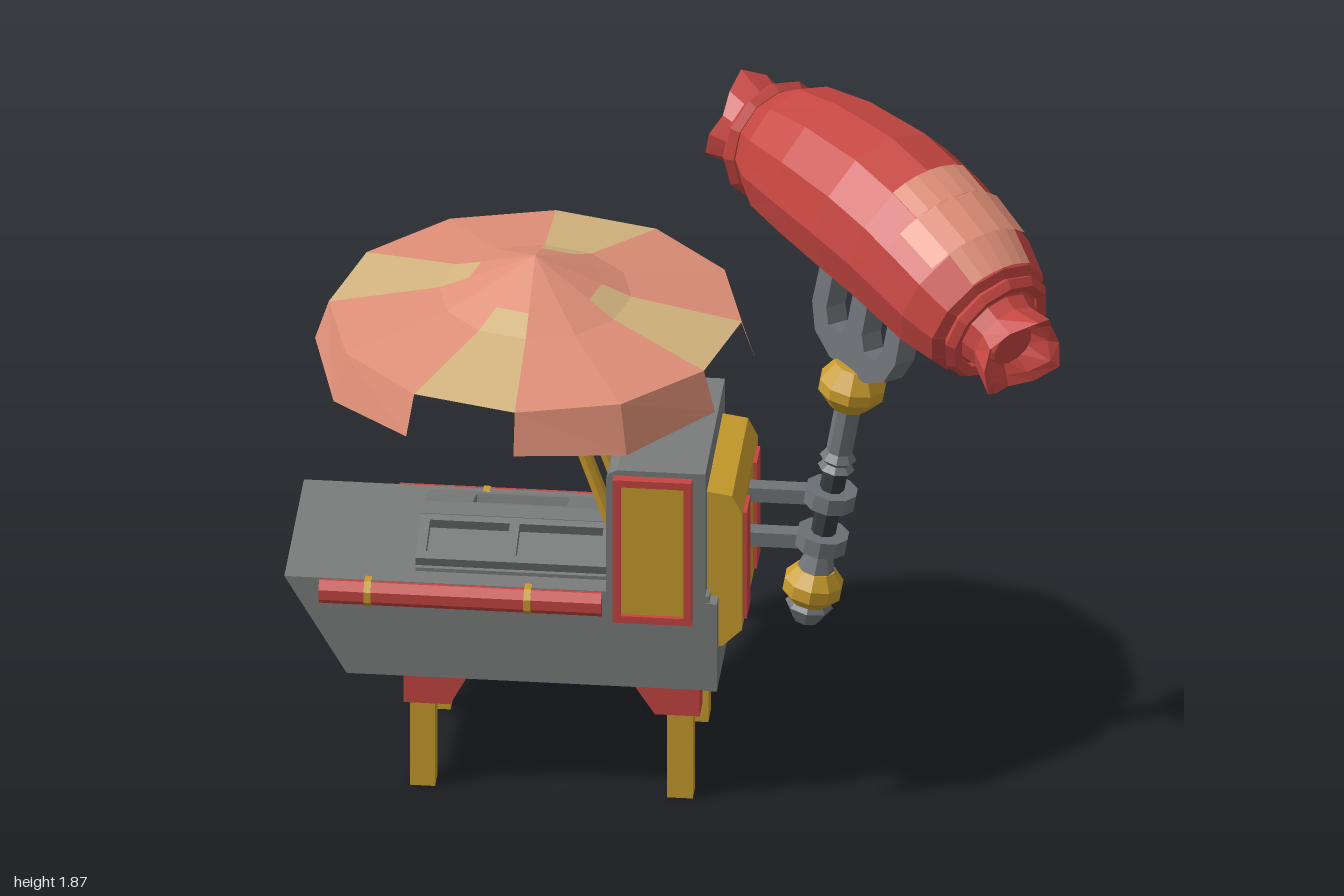
import * as THREE from 'three';

const paint = (name, color, side = THREE.FrontSide) => {
  const m = new THREE.MeshStandardMaterial({ color, side });
  m.name = name;
  return m;
};

export function createModel() {
  const grey = paint('hull grey', 0x7a7c7b);
  const steel = paint('steel', 0x6f7478);
  const dark = paint('dark grip', 0x343a3b);
  const gold = paint('gold', 0xc89b2c);
  const red = paint('red', 0xc64641);
  const orange = paint('canopy orange', 0xe09078, THREE.DoubleSide);
  const tan = paint('canopy tan', 0xd4b580, THREE.DoubleSide);

  const root = new THREE.Group();
  root.name = 'foodStall';

  const flat = (g) => {
    const f = g.index ? g.toNonIndexed() : g;
    f.computeVertexNormals();
    return f;
  };
  const add = (name, geo, mat, parent = root) => {
    const m = new THREE.Mesh(geo, mat);
    m.name = name;
    parent.add(m);
    return m;
  };
  const group = (name, parent = root) => {
    const g = new THREE.Group();
    g.name = name;
    parent.add(g);
    return g;
  };
  // box from its limits
  const box = (name, mat, x0, x1, y0, y1, z0, z1, parent) =>
    add(name, new THREE.BoxGeometry(x1 - x0, y1 - y0, z1 - z0)
      .translate((x0 + x1) / 2, (y0 + y1) / 2, (z0 + z1) / 2), mat, parent);
  const shapeOf = (pts) => new THREE.Shape(pts.map((p) => new THREE.Vector2(...p)));
  const rect = (x0, x1, y0, y1) => [[x0, y0], [x1, y0], [x1, y1], [x0, y1]];
  // outline in x,y extruded from z0 to z1
  const prismGeo = (pts, z0, z1, holes = []) => {
    const s = shapeOf(pts);
    s.holes = holes.map(shapeOf);
    return new THREE.ExtrudeGeometry(s, { depth: z1 - z0, bevelEnabled: false, curveSegments: 6 }).translate(0, 0, z0);
  };
  // surface through rows of points
  const grid = (rows) => {
    const pos = [];
    for (let i = 0; i < rows.length - 1; i++) {
      for (let j = 0; j < rows[i].length - 1; j++) {
        const [a, b, c, d] = [rows[i][j], rows[i][j + 1], rows[i + 1][j], rows[i + 1][j + 1]];
        for (const p of [a, b, c, b, d, c]) pos.push(...p);
      }
    }
    const g = new THREE.BufferGeometry();
    g.setAttribute('position', new THREE.Float32BufferAttribute(pos, 3));
    g.computeVertexNormals();
    return g;
  };

  // hull with raked bow and stern slab
  add('hull', prismGeo([[-0.84, 0.33], [0.09, 0.33], [0.09, 0.605], [-1, 0.605]], -0.265, 0.24), grey);
  box('sternSlab', grey, 0.08, 0.11, 0.33, 0.585, -0.27, 0.243);

  // legs and brackets
  for (const [z0, z1] of [[0.165, 0.22], [-0.243, -0.18]]) {
    box('leg', gold, -0.68, -0.615, 0, 0.27, z0, z1);
    box('leg', gold, -0.02, 0.046, 0, 0.27, z0, z1);
    const b0 = z0 - 0.01, b1 = z1 + 0.015;
    add('legBracket', prismGeo([[-0.695, 0.25], [-0.575, 0.25], [-0.53, 0.335], [-0.695, 0.335]], b0, b1), red);
    add('legBracket', prismGeo([[-0.05, 0.25], [0.065, 0.25], [0.065, 0.335], [-0.105, 0.335]], b0, b1), red);
  }

  // booth, with a recessed panel at the back and a framed one at the front
  const boothOutline = [[-0.175, 0.59], [0.08, 0.59], [0.08, 0.962], [-0.145, 0.962], [-0.167, 0.952], [-0.175, 0.93]];
  add('booth', prismGeo(boothOutline, -0.235, 0.24), grey);
  add('boothBackFrame', prismGeo(boothOutline, -0.263, -0.235, [rect(-0.14, 0.05, 0.63, 0.925)]), grey);
  const framed = (x0, x1, y0, y1, z0, z1, back) => {
    const g = group('framedPanel');
    add('frame', prismGeo(rect(x0, x1, y0, y1), z0, z1, [rect(x0 + 0.02, x1 - 0.02, y0 + 0.02, y1 - 0.02)]), red, g);
    const inset = back ? [z0 + 0.012, z1] : [z0, z1 - 0.012];
    box('panel', gold, x0 + 0.015, x1 - 0.015, y0 + 0.015, y1 - 0.015, ...inset, g);
  };
  framed(-0.155, 0.047, 0.53, 0.947, 0.235, 0.266, false);
  framed(-0.81, -0.36, 0.39, 0.51, -0.297, -0.26, true);

  // side rails with gold bands
  const rail = (name, x0, x1, z, bands) => {
    const bar = (n, mat, a, b, r) => add(n, flat(new THREE.CylinderGeometry(r, r, b - a, 8)
      .rotateY(Math.PI / 8).rotateZ(Math.PI / 2)).translate((a + b) / 2, 0.57, z), mat);
    bar(name, red, x0, x1, 0.036);
    for (const x of bands) bar('railBand', gold, x - 0.009, x + 0.009, 0.039);
  };
  rail('frontRail', -0.91, -0.185, 0.235, [-0.785, -0.375]);
  rail('backRail', -0.755, 0.08, -0.262, [-0.53]);

  // serving counter: gabled top with open wells
  const counter = group('counter');
  const gable = [[-0.18, 0.6], [0.18, 0.6], [0.18, 0.615], [0.03, 0.66], [-0.03, 0.66], [-0.18, 0.615]];
  add('counterBase', prismGeo(gable, 0.175, 0.67).rotateY(-Math.PI / 2), grey, counter);
  box('counterRidge', grey, -0.67, -0.175, 0.62, 0.692, -0.032, 0.032, counter);
  for (const s of [1, -1]) {
    const wells = s > 0
      ? [rect(-0.645, -0.44, 0.025, 0.135), rect(-0.415, -0.2, 0.025, 0.135)]
      : [rect(-0.54, -0.3, 0.025, 0.135)];
    const g = prismGeo(rect(-0.67, -0.175, 0, 0.16), -0.035, 0, wells);
    // slope plate leaning up to the ridge
    g.rotateX(-Math.PI / 2 + 0.31).translate(0, 0.643, 0.18);
    if (s < 0) g.rotateY(Math.PI).translate(-0.845, 0, 0);
    add('counterSlope', g, grey, counter);
  }

  // bevelled gold cabinet on the end with red panels
  add('endCabinet', prismGeo([[0.07, 0.44], [0.12, 0.44], [0.17, 0.49], [0.17, 0.83], [0.145, 0.88], [0.08, 0.89]], -0.21, 0.2), gold);
  for (const [z0, z1] of [[0.085, 0.175], [-0.172, -0.085]]) box('cabinetPanel', red, 0.16, 0.18, 0.51, 0.82, z0, z1);

  // canopy of twelve sectors, every third one a short tan panel
  const canopy = group('canopy');
  canopy.position.set(-0.38, 0, 0);
  const rib = (k, r, y) => {
    const a = (k * Math.PI) / 6;
    return [Math.sin(a) * r, y, -Math.cos(a) * r];
  };
  const sector = (k, profile) => grid(profile.map(([r, y]) => [rib(k, r, y), rib(k + 1, r, y)]));
  const crown = [[0, 1.445], [0.17, 1.37]];
  const slope = [[0.17, 1.37], [0.247, 1.337], [0.53, 1.28]];
  for (let k = 0; k < 12; k++) {
    add('canopyCrown', sector(k, crown), orange, canopy);
    if (k % 3 === 0) {
      add('tanPanel', sector(k, slope), tan, canopy);
      continue;
    }
    add('orangePanel', sector(k, slope), orange, canopy);
    // hanging skirt, lower at the middle rib
    const low = (j) => (j % 3 === 2 ? 1.148 : 1.172);
    add('canopySkirt', grid([[rib(k, 0.53, 1.28), rib(k + 1, 0.53, 1.28)],
      [rib(k, 0.565, low(k)), rib(k + 1, 0.565, low(k + 1))]]), orange, canopy);
  }

  // slanted canopy poles
  for (const z of [0.09, -0.11]) {
    const a = new THREE.Vector3(-0.16, 0.68, z), b = new THREE.Vector3(-0.395, 1.36, z);
    const pole = add('canopyPole', flat(new THREE.CylinderGeometry(0.019, 0.019, a.distanceTo(b), 8)), gold);
    pole.position.copy(a).lerp(b, 0.5);
    pole.rotation.z = Math.atan2(a.x - b.x, b.y - a.y);
  }

  // giant fork held by two clamps
  const fork = group('fork');
  fork.position.set(0.315, 0.42, 0.01);
  fork.rotation.z = -0.17;
  const turn = (name, pts, mat, n = 8) =>
    add(name, flat(new THREE.LatheGeometry(pts.map((p) => new THREE.Vector2(...p)), n)), mat, fork);
  turn('forkTip', [[0, 0], [0.035, 0.005], [0.062, 0.05], [0.04, 0.08]], steel);
  turn('lowerBall', [[0, 0.06], [0.05, 0.06], [0.078, 0.09], [0.078, 0.125], [0.05, 0.16], [0, 0.16]], gold, 10);
  turn('handleFoot', [[0, 0.15], [0.05, 0.155], [0.032, 0.21], [0, 0.21]], steel);
  turn('grip', [[0.032, 0.2], [0.032, 0.47]], dark);
  turn('handle', [[0, 0.46], [0.048, 0.46], [0.032, 0.475], [0.048, 0.49], [0.034, 0.51], [0.034, 0.66]], steel);
  turn('upperBall', [[0, 0.645], [0.05, 0.645], [0.088, 0.69], [0.088, 0.72], [0.055, 0.77], [0, 0.775]], gold, 10);
  for (const t of [0.245, 0.375]) {
    const c = add('clampRing', flat(new THREE.CylinderGeometry(0.068, 0.068, 0.045, 10)), steel, fork);
    c.position.y = t;
  }
  for (const y of [0.66, 0.79]) box('clampArm', steel, 0.165, 0.34, y - 0.02, y + 0.02, -0.015, 0.03);
  const half = [[0.07, 0], [0.14, 0.04], [0.17, 0.11], [0.165, 0.32], [0.115, 0.32], [0.115, 0.12], [0.095, 0.08],
    [0.05, 0.08], [0.03, 0.12], [0.03, 0.32]];
  const tines = [...half, ...half.map(([x, y]) => [-x, y]).reverse()];
  const head = add('forkHead', prismGeo(tines, -0.032, 0.032), steel, fork);
  head.position.y = 0.76;
  head.rotation.y = -Math.PI / 4;

  // sausage along its own x axis; stations are position, height, radius
  const sausage = group('sausage');
  sausage.position.set(0.52, 0, 0.03);
  sausage.rotation.y = -0.8;
  const SIDES = 12, STEP = (Math.PI * 2) / SIDES;
  const body = [[-0.48, 1.65, 0], [-0.47, 1.65, 0.1], [-0.44, 1.65, 0.14], [-0.35, 1.655, 0.187], [-0.2, 1.657, 0.21],
    [0, 1.645, 0.225], [0.13, 1.62, 0.222], [0.21, 1.595, 0.217], [0.33, 1.553, 0.207], [0.42, 1.515, 0.18],
    [0.47, 1.5, 0.1], [0.48, 1.495, 0]];
  const tilt = (i) => {
    const a = body[Math.max(i - 1, 0)], b = body[Math.min(i + 1, body.length - 1)];
    return Math.atan2(b[1] - a[1], b[0] - a[0]);
  };
  const at = ([s, y, r], a, phi) =>
    [s - Math.sin(a) * r * Math.cos(phi), y + Math.cos(a) * r * Math.cos(phi), r * Math.sin(phi)];
  const loop = (fn) => Array.from({ length: SIDES + 1 }, (_, j) => fn(j % SIDES));
  add('sausageBody', grid(body.map((st, i) => loop((j) => at(st, tilt(i), j * STEP)))), red, sausage);

  // pale bitten patch in three bars on top
  [[6, 1], [7, 1.5], [8, 1]].forEach(([i, w]) => {
    const rows = [i, i + 1].map((k) => {
      const [s, y, r] = body[k];
      return Array.from({ length: 7 }, (_, j) => at([s, y, r + 0.007], tilt(k), (j / 3 - 1) * w * STEP));
    });
    add('bittenPatch', grid(rows), orange, sausage);
  });

  // collars and ragged tied ends
  for (const e of [1, -1]) {
    const a = e > 0 ? -0.3 : 0;
    const y0 = e > 0 ? 1.505 : 1.65, drop = e > 0 ? 0.4 : -0.1;
    const collar = add('endCollar', flat(new THREE.TorusGeometry(0.142, 0.022, 5, 12).rotateY(Math.PI / 2)), red, sausage);
    collar.position.set(0.455 * e, y0, 0);
    collar.rotation.z = a;
    const prof = [[0.46, 0.115], [0.5, 0.105], [0.565, 0.125], [0.55, 0.1], [0.505, 0.07], [0.525, 0.06], [0.525, 0]];
    if (e < 0) prof.reverse();
    const rows = prof.map(([s, r]) => loop((j) => {
      const jag = s > 0.54 ? [0.025, -0.005, -0.025, 0][j % 4] : 0;
      return at([(s + jag) * e, y0 - (s - 0.455) * drop, r + jag * 0.4], a, j * STEP);
    }));
    add('tiedEnd', grid(rows), red, sausage);
  }

  return root;
}
